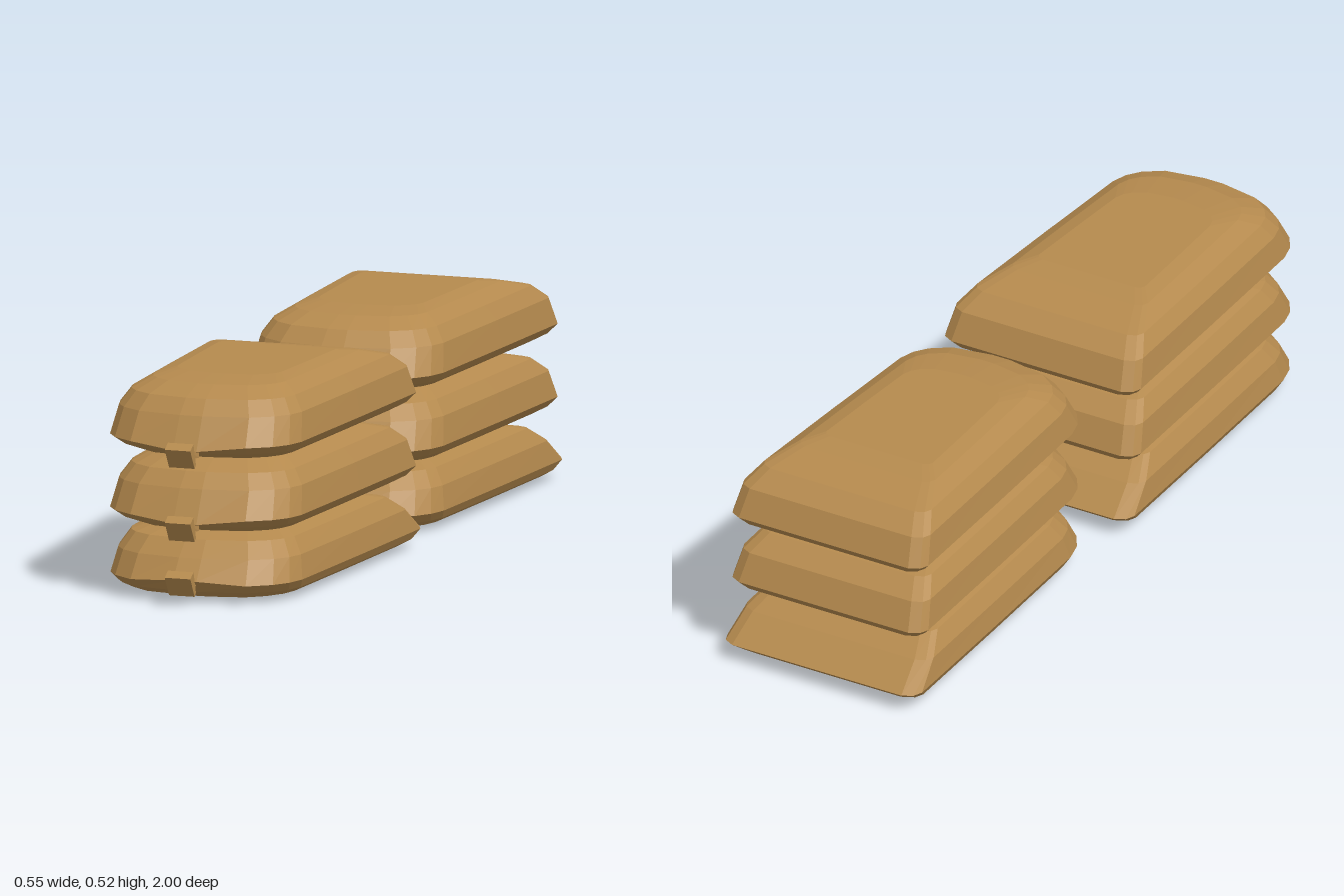
import * as THREE from 'three';

const material = new THREE.MeshStandardMaterial({ color: 0xb58a4e, flatShading: true });

// Skin a list of closed cross-sections (equal point counts) and cap both ends.
function loft(rings) {
  const n = rings[0].length;
  const pos = [];
  const tri = (...pts) => pts.forEach((p) => pos.push(...p));
  const middle = (ring) => [0, 1, 2].map((k) => ring.reduce((s, p) => s + p[k], 0) / n);
  const first = rings[0], last = rings[rings.length - 1];
  const c0 = middle(first), c1 = middle(last);
  for (let j = 0; j < n; j++) {
    const k = (j + 1) % n;
    for (let i = 0; i < rings.length - 1; i++) {
      const a = rings[i], b = rings[i + 1];
      tri(a[j], a[k], b[k]);
      tri(a[j], b[k], b[j]);
    }
    tri(first[k], first[j], c0);
    tri(last[j], last[k], c1);
  }
  const geometry = new THREE.BufferGeometry();
  geometry.setAttribute('position', new THREE.Float32BufferAttribute(pos, 3));
  geometry.computeVertexNormals();
  return geometry;
}

// Half outline seen from above: [share of half width, share of length], mouth to back.
const outline = [
  [0.11, 1], [0.54, 0.975], [0.74, 0.93], [0.84, 0.885], [0.89, 0.83],
  [0.95, 0.43], [1, 0.04], [0.965, 0.015], [0.87, 0],
];

// Horizontal slices of a bag: [y, half width, back z, front z]; slice 3 is the seam.
const SEAM = 3;
const groundSlices = [
  [0, 0.2, 0.1, 0.84], [0.01, 0.235, 0.05, 0.89], [0.025, 0.262, 0.03, 0.92],
  [0.047, 0.275, 0, 0.95], [0.105, 0.263, 0.08, 0.91], [0.145, 0.235, 0.15, 0.87],
  [0.16, 0.19, 0.22, 0.8], [0.166, 0.15, 0.26, 0.72],
];
const upperSlices = [
  [0.158, 0.17, 0.12, 0.8], [0.167, 0.22, 0.08, 0.86], [0.185, 0.255, 0.05, 0.91],
  [0.207, 0.275, 0.032, 0.95], [0.275, 0.263, 0.065, 0.905], [0.312, 0.235, 0.12, 0.87],
  [0.336, 0.19, 0.22, 0.8], [0.345, 0.15, 0.28, 0.7],
];

// seamShift raises or lowers the seam where it meets the tied mouth.
function bagGeometry(slices, seamShift) {
  return loft(slices.map(([y, w, zb, zf], i) => {
    const half = outline.map(([u, t]) => [
      u * w,
      y + (i === SEAM && t === 1 ? seamShift : 0),
      zb + (zf - zb) * t,
    ]);
    const mirrored = half.map(([x, py, z]) => [-x, py, z]).reverse();
    return [...half, ...mirrored];
  }));
}

// Gathered mouth: pinched neck flaring into a slanted flap.
// Each section is [half width, bottom z, bottom y, top z, top y].
function tieGeometry() {
  const sections = [
    [0.03, 0.93, 0.042, 0.93, 0.066],
    [0.018, 0.953, 0.043, 0.957, 0.06],
    [0.033, 0.96, 0.03, 0.978, 0.084],
    [0.033, 0.97, 0.022, 1, 0.07],
  ];
  return loft(sections.map(([w, zb, yb, zt, yt]) => [
    [w, yb, zb], [w, yt, zt], [-w, yt, zt], [-w, yb, zb],
  ]));
}

export function createModel() {
  const model = new THREE.Group();
  model.name = 'sandbagStacks';
  const ground = bagGeometry(groundSlices, 0.008);
  const upper = bagGeometry(upperSlices, -0.012);
  const tie = tieGeometry();
  // Layers: [geometry, bag lift, tie lift]
  const layers = [[ground, 0, 0], [upper, 0, 0.135], [upper, 0.18, 0.315]];

  // Two stacks of three bags, one behind the other
  for (const [stackName, z] of [['frontStack', 0], ['backStack', -1]]) {
    const stack = new THREE.Group();
    stack.name = stackName;
    stack.position.z = z;
    layers.forEach(([geometry, bagY, tieY], i) => {
      const sandbag = new THREE.Group();
      sandbag.name = `sandbag${i + 1}`;
      const body = new THREE.Mesh(geometry, material);
      body.name = 'bagBody';
      body.position.y = bagY;
      const mouth = new THREE.Mesh(tie, material);
      mouth.name = 'tiedMouth';
      mouth.position.y = tieY;
      sandbag.add(body, mouth);
      stack.add(sandbag);
    });
    model.add(stack);
  }
  return model;
}
